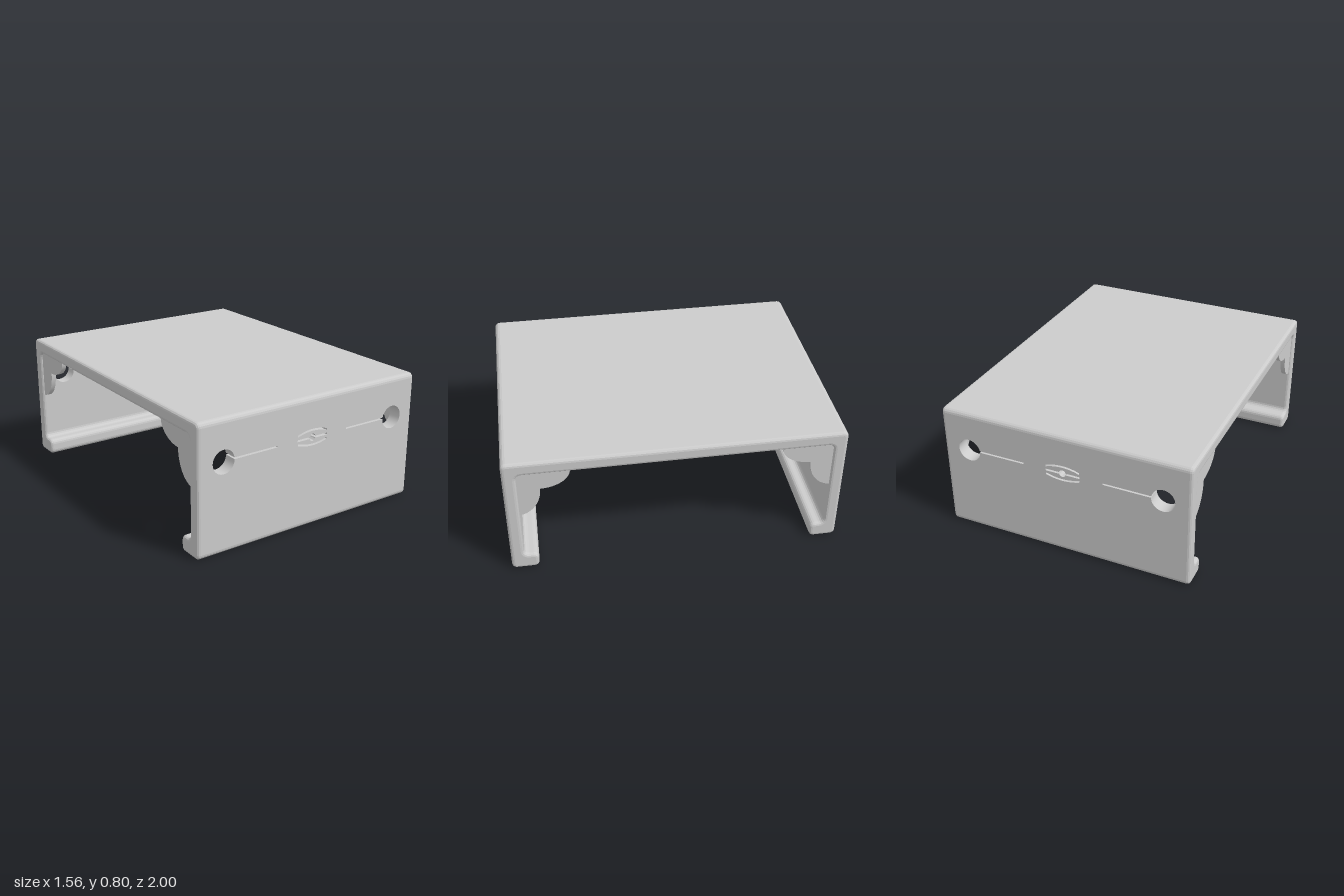
import * as THREE from 'three';
import { toCreasedNormals } from 'three/addons/utils/BufferGeometryUtils.js';

const HALF_X = 0.78, BEVEL = 0.02, ROUND = 0.03;
const INNER_Z = 0.92, PANEL_LOW = 0.2, PANEL_HIGH = 0.66;

// Closed outline whose corners [x, y, radius] are rounded off with near-circular arcs
function roundedOutline(corners) {
  const shape = new THREE.Shape();
  const toward = (a, b, d) => {
    const p = new THREE.Vector2(a[0], a[1]);
    return p.add(new THREE.Vector2(b[0] - a[0], b[1] - a[1]).setLength(d));
  };
  corners.forEach((c, i) => {
    const prev = corners.at(i - 1), next = corners[(i + 1) % corners.length], r = c[2];
    const p = toward(c, prev, r), q = toward(c, next, r);
    if (i === 0) shape.moveTo(p.x, p.y); else shape.lineTo(p.x, p.y);
    if (r > 0) {
      const a = toward(c, prev, r * 0.448), b = toward(c, next, r * 0.448);
      shape.bezierCurveTo(a.x, a.y, b.x, b.y, q.x, q.y);
    }
  });
  shape.closePath();
  return shape;
}

// Channel section swept along x, with the two wall panels left open
function shellGeometry() {
  const half = [
    [INNER_Z, 0.71, ROUND], [INNER_Z, PANEL_HIGH, 0], [INNER_Z, PANEL_LOW, 0], [INNER_Z, 0.1, ROUND],
    [0.835, 0.1, ROUND], [0.835, 0, ROUND], [1, 0, ROUND],
    [1, PANEL_LOW, 0], [1, PANEL_HIGH, 0], [1, 0.795, ROUND],
  ];
  const mirrored = half.map(([u, v, r]) => [-u, v, r]).reverse();
  const length = 2 * (HALF_X - BEVEL);
  const swept = new THREE.ExtrudeGeometry(roundedOutline([...half, ...mirrored]), {
    depth: length, curveSegments: 4, bevelEnabled: true,
    bevelThickness: BEVEL, bevelSize: BEVEL, bevelOffset: -BEVEL, bevelSegments: 3,
  });
  swept.translate(0, 0, -length / 2).rotateY(Math.PI / 2);

  // Drop the flat wall faces that the pierced panels replace
  const pos = swept.attributes.position, kept = [];
  const near = (a, b) => Math.abs(a - b) < 1e-4;
  for (let i = 0; i < pos.count; i += 3) {
    const ids = [i, i + 1, i + 2];
    const onPanel = [1, INNER_Z].some((z) => ids.every((k) =>
      near(Math.abs(pos.getZ(k)), z) && pos.getZ(k) * pos.getZ(i) > 0 &&
      pos.getY(k) > PANEL_LOW - 1e-4 && pos.getY(k) < PANEL_HIGH + 1e-4));
    if (!onPanel) for (const k of ids) kept.push(pos.getX(k), pos.getY(k), pos.getZ(k));
  }
  const geo = new THREE.BufferGeometry();
  geo.setAttribute('position', new THREE.Float32BufferAttribute(kept, 3));
  geo.computeVertexNormals();
  return geo;
}

// Round hole with a thin slot pointing to the middle of the wall
function keyholeCutout(side) {
  const path = new THREE.Path(), r = 0.071, cx = 0.612, cy = 0.546;
  for (let i = 0; i <= 40; i++) {
    const a = Math.PI - 0.15 - (i / 40) * (2 * Math.PI - 0.15);
    const x = side * (cx + r * Math.cos(a)), y = cy + r * Math.sin(a);
    if (i === 0) path.moveTo(x, y); else path.lineTo(x, y);
  }
  path.lineTo(side * 0.25, 0.547);
  path.lineTo(side * 0.25, 0.557);
  path.closePath();
  return path;
}

// Bowed slit: ends at height yEnd, middle at height yMid
function bowCutout(yEnd, yMid, thick) {
  const path = new THREE.Path(), w = 0.106, ctrl = 2 * yMid - yEnd;
  path.moveTo(-w, yEnd);
  path.quadraticCurveTo(0, ctrl, w, yEnd);
  path.lineTo(w, yEnd + thick);
  path.quadraticCurveTo(0, ctrl + thick, -w, yEnd + thick);
  path.closePath();
  return path;
}

// Straight slit with a round opening at its middle
function pinCutout() {
  const path = new THREE.Path(), w = 0.108, cy = 0.551, h = 0.006, r = 0.022, a = Math.asin(h / r);
  path.moveTo(-w, cy + h);
  path.lineTo(-w, cy - h);
  path.absarc(0, cy, r, Math.PI + a, 2 * Math.PI - a, false);
  path.lineTo(w, cy - h);
  path.lineTo(w, cy + h);
  path.absarc(0, cy, r, a, Math.PI - a, false);
  path.closePath();
  return path;
}

function panelGeometry() {
  const w = HALF_X - BEVEL;
  const shape = roundedOutline([
    [-w, PANEL_LOW, 0], [w, PANEL_LOW, 0], [w, PANEL_HIGH, 0], [-w, PANEL_HIGH, 0],
  ]);
  shape.holes.push(
    keyholeCutout(1), keyholeCutout(-1), pinCutout(),
    bowCutout(0.572, 0.591, 0.012), bowCutout(0.52, 0.502, 0.012),
  );
  const geo = new THREE.ExtrudeGeometry(shape, { depth: 1 - INNER_Z, bevelEnabled: false, curveSegments: 14 });
  return toCreasedNormals(geo.translate(0, 0, INNER_Z), 0.5);
}

// Thin scalloped brace tucked into the corner under the top
function braceGeometry() {
  const shape = new THREE.Shape();
  shape.moveTo(0.94, 0.73);
  shape.lineTo(0.615, 0.73);
  shape.lineTo(0.615, 0.715);
  shape.absellipse(0.79, 0.715, 0.175, 0.12, Math.PI, 1.5 * Math.PI, false);
  shape.absellipse(0.93, 0.595, 0.14, 0.185, Math.PI, 1.5 * Math.PI, false);
  shape.lineTo(0.94, 0.41);
  shape.closePath();
  const geo = new THREE.ExtrudeGeometry(shape, { depth: 0.03, bevelEnabled: false, curveSegments: 10 });
  // Centre the thickness, then turn the outline into the z-y plane
  return toCreasedNormals(geo.translate(0, 0, -0.015).rotateY(-Math.PI / 2), 0.5);
}

export function createModel() {
  const model = new THREE.Group();
  model.name = 'bracketCover';
  const material = new THREE.MeshStandardMaterial({ color: 0xcccccc });
  const add = (name, geometry) => {
    const mesh = new THREE.Mesh(geometry, material);
    mesh.name = name;
    model.add(mesh);
    return mesh;
  };

  add('channelShell', shellGeometry());

  // Front and back are the same parts turned half round
  const panel = panelGeometry(), brace = braceGeometry();
  for (const [end, turn] of [['front', 0], ['back', Math.PI]]) {
    add(end + 'WallPanel', panel).rotation.y = turn;
    for (const side of [1, -1]) {
      const mesh = add(end + (side > 0 ? 'Left' : 'Right') + 'CornerBrace', brace);
      mesh.rotation.y = turn;
      mesh.position.x = side * 0.75;
    }
  }
  return model;
}
